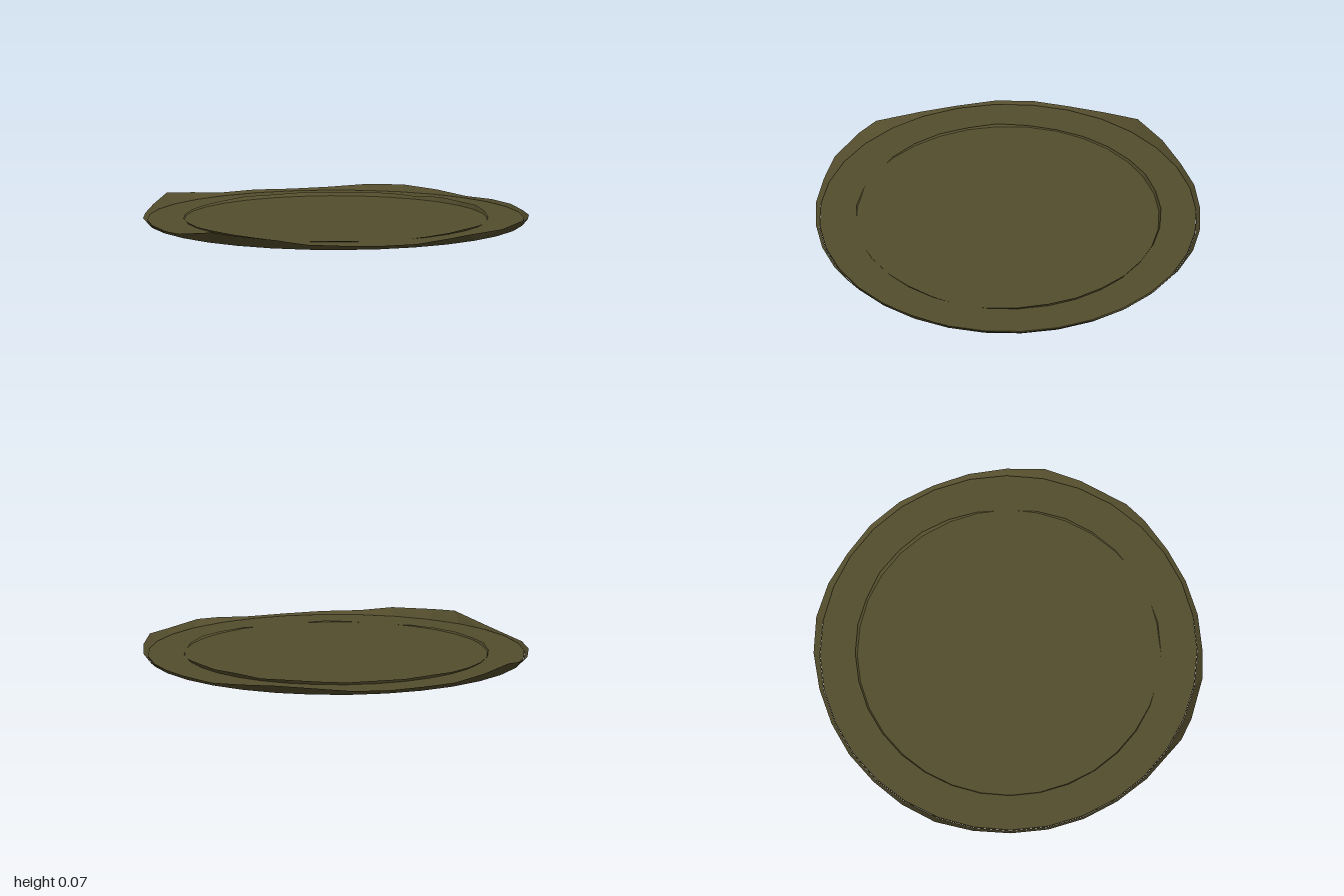
import * as THREE from 'three';

const SEGMENTS = 32;
const FLOOR = 0.012;

// Rim heights, running from +x towards +z
const OUTER = [
  0.035, 0.02, 0.02, 0.025, 0.03, 0.05, 0.058, 0.064,
  0.025, 0.015, 0.02, 0.022, 0.02, 0.035, 0.066, 0.045,
  0.025, 0.025, 0.02, 0.025, 0.04, 0.045, 0.033, 0.018,
  0.024, 0.025, 0.02, 0.026, 0.034, 0.05, 0.038, 0.043,
];
const INNER = [
  0.016, 0.008, 0.009, 0.019, 0.013, 0.008, 0.016, 0.02,
  0.022, 0.02, 0.025, 0.019, 0.018, 0.02, 0.022, 0.024,
  0.03, 0.027, 0.03, 0.026, 0.03, 0.032, 0.026, 0.036,
  0.031, 0.034, 0.026, 0.018, 0.008, 0.019, 0.024, 0.02,
];

// Thin ragged wall that flares outwards as it rises
function ragged(radius, heights, flare, shifts = {}) {
  const positions = [];
  const indices = [];
  for (let i = 0; i < SEGMENTS; i++) {
    const a = (i / SEGMENTS) * Math.PI * 2;
    const b = a + (shifts[i] || 0);
    const h = heights[i];
    const r = radius + 0.008 + flare * h;
    positions.push(Math.cos(a) * radius, 0, Math.sin(a) * radius);
    positions.push(Math.cos(b) * r, h, Math.sin(b) * r);
    const p = i * 2;
    const q = ((i + 1) % SEGMENTS) * 2;
    indices.push(p, p + 1, q, q, p + 1, q + 1);
  }
  const geometry = new THREE.BufferGeometry();
  geometry.setAttribute('position', new THREE.Float32BufferAttribute(positions, 3));
  geometry.setIndex(indices);
  geometry.computeVertexNormals();
  return geometry;
}

export function createModel() {
  const group = new THREE.Group();
  const mud = new THREE.MeshStandardMaterial({
    color: 0x544d2d, flatShading: true, side: THREE.DoubleSide,
  });
  mud.name = 'mud brown';

  const add = (name, geometry) => {
    const mesh = new THREE.Mesh(geometry, mud);
    mesh.name = name;
    group.add(mesh);
    return mesh;
  };

  // Flat round ground patch
  add('groundDisc', new THREE.CylinderGeometry(0.967, 0.967, FLOOR, SEGMENTS)).position.y = FLOOR / 2;

  // Uneven outer edge and the shallower ring within it
  add('outerRim', ragged(0.968, OUTER, 0.6, { 5: -0.03, 7: -0.07, 31: 0.07 }));
  add('innerRim', ragged(0.768, INNER, 0.35));

  return group;
}
